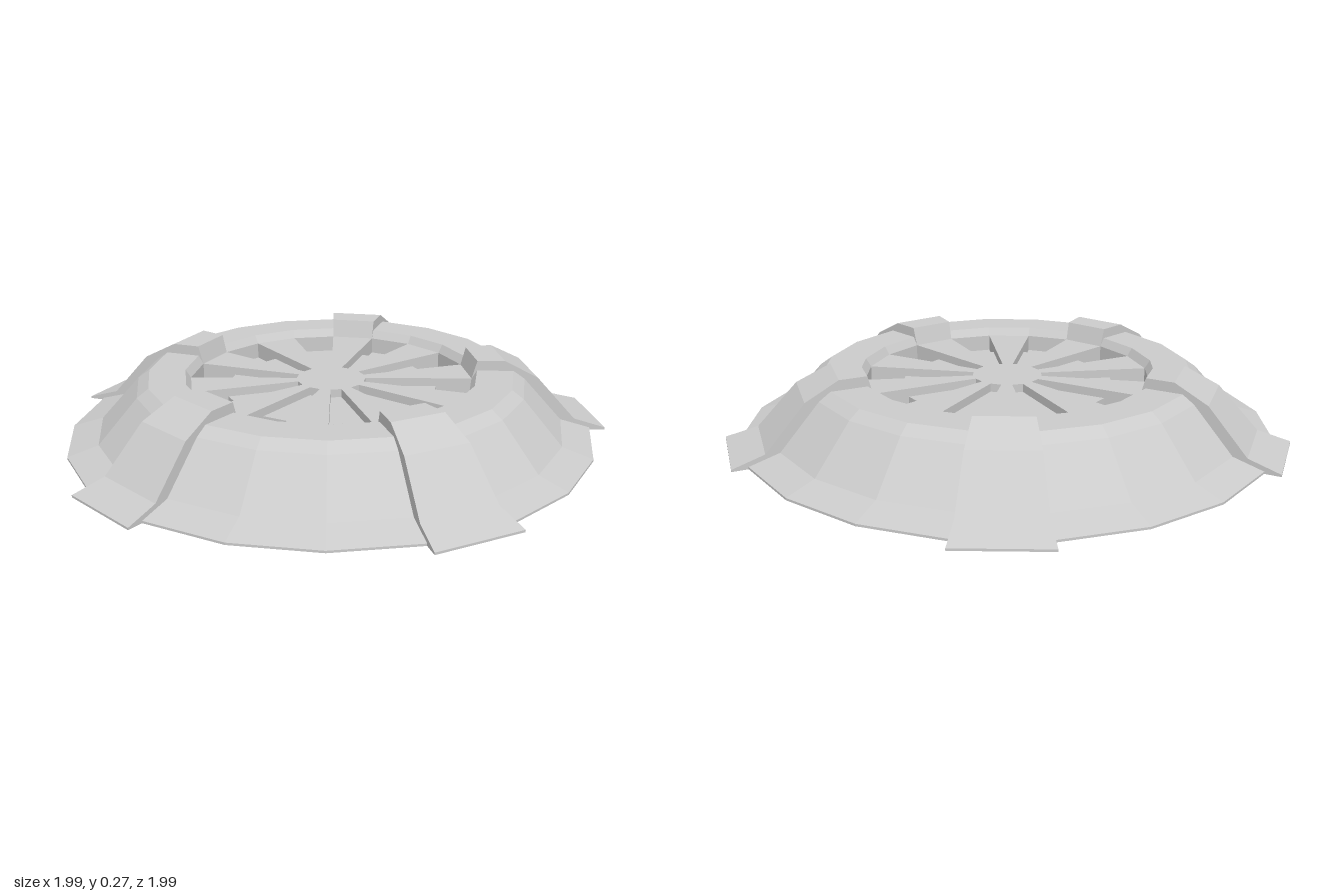
import * as THREE from 'three';

const STEP = Math.PI / 10; // 18 degrees, twenty segments per turn

// Radial cross-sections as [radius, height], counter-clockwise
const RIB = [[0.516, 0], [1.021, 0], [1.021, 0.008], [0.904, 0.043], [0.76, 0.203],
  [0.637, 0.267], [0.535, 0.267], [0.516, 0.2]];
const RIM = [[0.516, 0], [0.963, 0], [0.963, 0.008], [0.853, 0.04], [0.71, 0.2],
  [0.668, 0.23], [0.535, 0.23], [0.516, 0.2]];
const SPOKE = [[0, 0], [0.516, 0], [0.516, 0.2], [0, 0.2]];
const POCKET = [[0, 0], [0.516, 0], [0.516, 0.14], [0.385, 0.14], [0.385, 0.17],
  [0.126, 0.17], [0.126, 0.2], [0, 0.2]];

// Sweeps a closed cross-section around y over a number of straight segments
function sweep(profile, first, count) {
  const pos = [];
  const at = ([r, y], k) => [r * Math.cos(k * STEP), y, r * Math.sin(k * STEP)];
  const n = profile.length;
  for (let k = first; k < first + count; k++) {
    for (let i = 0; i < n; i++) {
      const a = profile[i], b = profile[(i + 1) % n];
      if (b[0] > 0) pos.push(...at(a, k), ...at(b, k), ...at(b, k + 1));
      if (a[0] > 0) pos.push(...at(a, k), ...at(b, k + 1), ...at(a, k + 1));
    }
  }
  // End caps
  const outline = profile.map(([r, y]) => new THREE.Vector2(r, y));
  for (const [a, b, c] of THREE.ShapeUtils.triangulateShape(outline, [])) {
    const p = [profile[a], profile[b], profile[c]];
    for (const q of [p[0], p[2], p[1]]) pos.push(...at(q, first));
    for (const q of p) pos.push(...at(q, first + count));
  }
  const geometry = new THREE.BufferGeometry();
  geometry.setAttribute('position', new THREE.Float32BufferAttribute(pos, 3));
  geometry.computeVertexNormals();
  return geometry;
}

export function createModel() {
  const model = new THREE.Group();
  model.name = 'roundBase';
  const material = new THREE.MeshStandardMaterial({ color: 0xcccccc, flatShading: true });

  // One 72 degree sector: a raised rib, three rim segments, spokes and pockets
  const parts = [
    ['rib', RIB, 0, 1],
    ['rim', RIM, 1, 3],
    ['spoke', SPOKE, 0, 1],
    ['pocket', POCKET, 1, 1],
    ['spoke', SPOKE, 2, 1],
    ['pocket', POCKET, 3, 1],
  ].map(([name, profile, first, count]) => [name, sweep(profile, first, count)]);

  for (let i = 0; i < 5; i++) {
    const sector = new THREE.Group();
    sector.name = 'sector';
    sector.rotation.y = -i * 4 * STEP;
    for (const [name, geometry] of parts) {
      const mesh = new THREE.Mesh(geometry, material);
      mesh.name = name;
      sector.add(mesh);
    }
    model.add(sector);
  }

  // The ribs are not symmetric, so the hub sits slightly off the middle
  model.children.forEach((s) => s.position.set(-0.025, 0, -0.025));
  return model;
}
